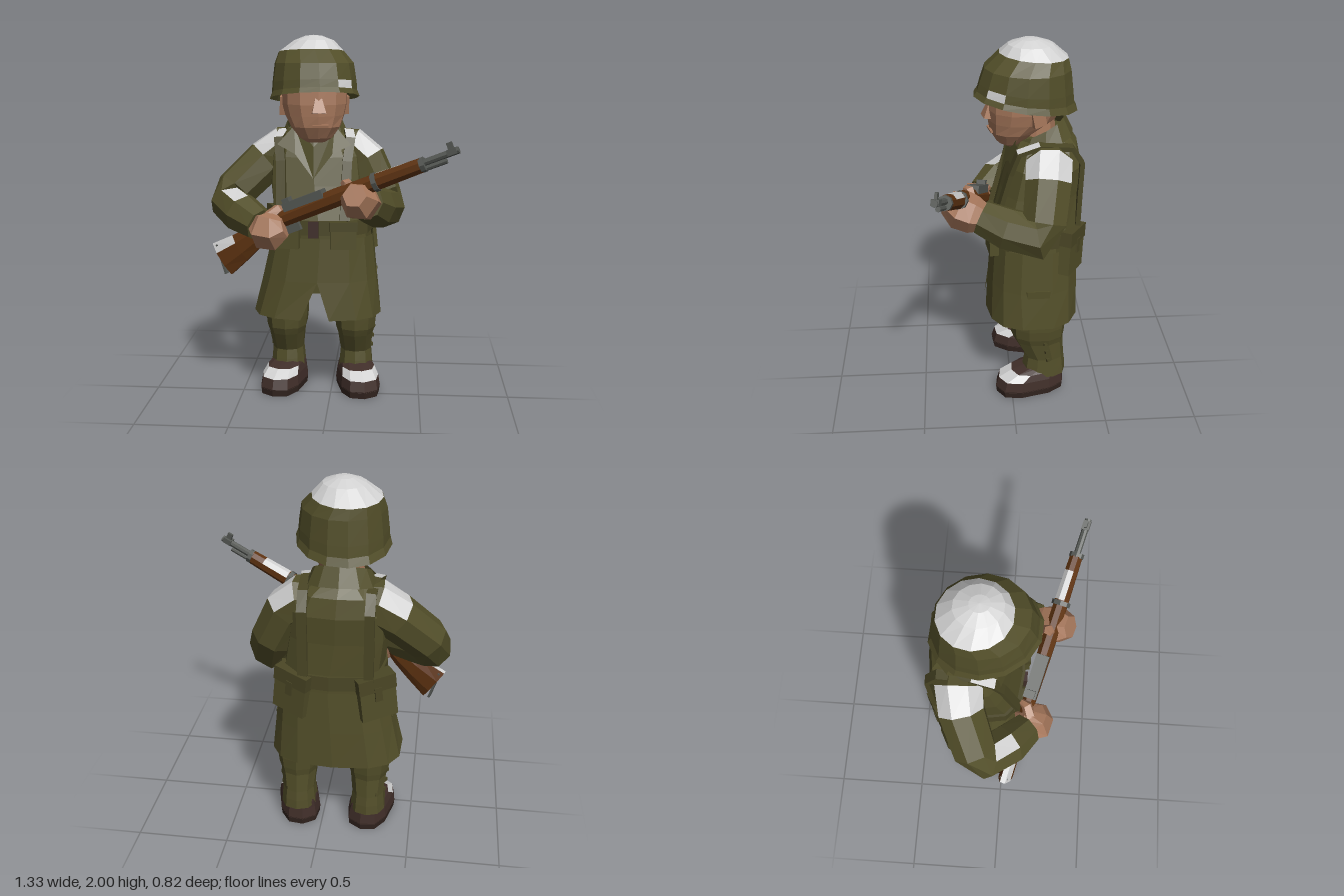
import * as THREE from 'three';

const mat = (name, color, side = THREE.FrontSide) => new THREE.MeshStandardMaterial({ name, color, side });
const M = {
  olive: mat('olive cloth', 0x524e29, THREE.DoubleSide),
  web: mat('dark webbing', 0x4a4625),
  skin: mat('skin', 0xa6775b),
  snow: mat('snow', 0xd2d2d2),
  wood: mat('wood', 0x5e3311),
  metal: mat('gun metal', 0x545753),
  boot: mat('boot leather', 0x402e29),
  sole: mat('boot sole', 0x32241f),
};
const V = (x, y, z) => new THREE.Vector3(x, y, z);

// Faceted skin over cross-sections; pick(ring, side) chooses the material index
function loft(name, rings, mats, { pick = () => 0, closed = true, caps = true } = {}) {
  const list = [].concat(mats), buckets = list.map(() => []);
  const n = rings[0].length, tri = (k, ...p) => p.forEach(q => buckets[k].push(q.x, q.y, q.z));
  for (let i = 0; i < rings.length - 1; i++) {
    for (let j = 0; j < (closed ? n : n - 1); j++) {
      const k = (j + 1) % n, m = pick(i, j);
      const a = rings[i][j], b = rings[i][k], c = rings[i + 1][k], d = rings[i + 1][j];
      tri(m, a, b, c);
      tri(m, a, c, d);
    }
  }
  if (caps) [0, rings.length - 1].forEach(e => {
    const r = rings[e], mid = r.reduce((s, p) => s.add(p), V(0, 0, 0)).divideScalar(n);
    const m = pick(e ? e - 1 : 0, 0);
    r.forEach((p, j) => e ? tri(m, mid, p, r[(j + 1) % n]) : tri(m, mid, r[(j + 1) % n], p));
  });
  const g = new THREE.BufferGeometry();
  g.setAttribute('position', new THREE.Float32BufferAttribute(buckets.flat(), 3));
  let at = 0;
  buckets.forEach((b, k) => { g.addGroup(at, b.length / 3, k); at += b.length / 3; });
  g.computeVertexNormals();
  const mesh = new THREE.Mesh(g, list.length > 1 ? list : list[0]);
  mesh.name = name;
  return mesh;
}

// Level ring, starting at the front; pow < 1 squares it, tilt slopes it, gap opens the front
function ring(n, [y, cx, cz, rx, rz, tilt = 0, gap = 0], pow = 1, open = false) {
  const p = v => Math.sign(v) * Math.abs(v) ** pow;
  return Array.from({ length: open ? n + 1 : n }, (_, j) => {
    const a = gap + j / n * (Math.PI * 2 - gap * 2), z = rz * p(Math.cos(a));
    return V(cx + rx * p(Math.sin(a)), y + tilt * z, cz + z);
  });
}

// Tube along points [x, y, z, ru, rv]; ru is measured along ref
function limb(name, pts, sides, mats, { ref = V(0, 1, 0), pick } = {}) {
  const c = pts.map(p => V(...p)), u = ref.clone();
  const rings = pts.map(([, , , ru, rv = ru], i) => {
    const t = c[Math.min(i + 1, c.length - 1)].clone().sub(c[Math.max(i - 1, 0)]).normalize();
    u.addScaledVector(t, -u.dot(t)).normalize();
    const v = t.clone().cross(u);
    return Array.from({ length: sides }, (_, j) => {
      const a = (j - 0.5) / sides * Math.PI * 2;
      return c[i].clone().addScaledVector(u, ru * Math.cos(a)).addScaledVector(v, rv * Math.sin(a));
    });
  });
  return loft(name, rings, mats, { pick });
}

function solid(name, geo, material, pos, rot = [0, 0, 0]) {
  const g = geo.index ? geo.toNonIndexed() : geo;
  g.computeVertexNormals();
  const m = new THREE.Mesh(g, material);
  m.name = name;
  m.position.set(...pos);
  m.rotation.set(...rot);
  return m;
}
const box = (name, s, material, pos, rot) => solid(name, new THREE.BoxGeometry(...s), material, pos, rot);

// Thin polygon of cloth
function plate(name, pts, material) {
  const g = new THREE.BufferGeometry().setFromPoints(
    pts.slice(2).flatMap((p, i) => [pts[0], pts[i + 1], p]).map(p => V(...p)));
  return solid(name, g, material, [0, 0, 0]);
}

function makeHead() {
  const g = new THREE.Group();
  g.name = 'head';
  g.position.set(-0.095, 0, -0.09);
  g.rotation.y = 0.2;
  g.add(loft('face', [[1.435, 0, 0.08, 0.05, 0.04], [1.46, 0, 0.085, 0.09, 0.075], [1.52, 0, 0.07, 0.135, 0.125],
    [1.58, 0, 0.025, 0.162, 0.18], [1.64, 0, 0.01, 0.177, 0.2], [1.78, 0, 0, 0.18, 0.2]].map(r => ring(12, r, 0.9)), M.skin));
  g.add(solid('nose', new THREE.CylinderGeometry(0.018, 0.052, 0.1, 4, 1, false, Math.PI / 4), M.skin, [0, 1.645, 0.19], [-0.15, 0, 0]));
  g.add(box('mouth', [0.085, 0.014, 0.012], M.skin, [0.01, 1.53, 0.197], [0.25, 0, 0]));
  for (const s of [-1, 1]) g.add(box('ear', [0.03, 0.1, 0.07], M.skin, [s * 0.168, 1.63, -0.02], [0.2, s * 0.2, 0]));
  // Helmet shell with snow on the crown and one patch on the brim
  const shell = [[1.667, 0, 0, 0.245, 0.28, 0.17], [1.7, 0, 0, 0.232, 0.261, 0.15], [1.748, 0, -0.003, 0.229, 0.252, 0.12],
    [1.85, 0, -0.01, 0.215, 0.23, 0.04], [1.912, -0.012, -0.045, 0.178, 0.183, 0.09], [1.97, 0, -0.025, 0.11, 0.12, 0.02],
    [1.995, 0, -0.02, 0.045, 0.05], [2, 0, -0.02, 0, 0]];
  g.add(loft('helmet', shell.map(r => ring(14, r)), [M.olive, M.snow],
    { caps: false, pick: (i, j) => +(i >= 4 || (i === 1 && j === 1)) }));
  return g;
}

function makeCoat() {
  const g = new THREE.Group();
  g.name = 'coat';
  g.add(loft('torso', [[0.86, -0.05, -0.135, 0.275, 0.232], [1.02, -0.06, -0.135, 0.268, 0.232], [1.2, -0.085, -0.162, 0.262, 0.208],
    [1.35, -0.09, -0.188, 0.25, 0.197], [1.45, -0.095, -0.195, 0.205, 0.17], [1.5, -0.1, -0.19, 0.13, 0.13]]
    .map(r => ring(12, r, 0.65)), M.olive));
  // Skirt, slit open at the front
  g.add(loft('skirt', [[0.47, -0.078, -0.123, 0.36, 0.262, 0, 0.12], [0.68, -0.065, -0.13, 0.322, 0.25], [0.92, -0.05, -0.135, 0.282, 0.238]]
    .map(r => ring(14, r, 0.72, true)), M.olive, { closed: false, caps: false }));
  g.add(loft('seat', [[0.66, -0.065, -0.14, 0.27, 0.19], [0.75, -0.065, -0.14, 0.28, 0.2]].map(r => ring(12, r, 0.8)), M.olive));
  g.add(loft('collar', [[1.46, -0.1, -0.18, 0.185, 0.165, -0.25], [1.535, -0.1, -0.165, 0.15, 0.13, -0.5, 0.25]]
    .map(r => ring(12, r, 0.85, true)), M.olive, { closed: false, caps: false }));
  for (const s of [-1, 1]) {
    const at = (x, y, z) => [-0.09 + s * x, y, z];
    g.add(plate('lapel', [at(0.11, 1.52, -0.04), at(0.2, 1.42, -0.005), at(0.1, 1.37, 0.02), at(0, 1.24, 0.045), at(0, 1.41, 0.015)], M.olive));
    // Shoulder strap from the back of the belt over to the front, snow on its crest
    g.add(limb('shoulderStrap', [at(0.17, 1, -0.362), at(0.17, 1.2, -0.368), at(0.17, 1.38, -0.375), at(0.17, 1.465, -0.32),
      at(0.18, 1.48, -0.15), at(0.195, 1.45, -0.04), at(0.18, 1.33, 0.002), at(0.17, 1.02, 0.088)].map(p => [...p, 0.018, 0.036]),
      4, [M.web, M.snow], { ref: V(0, 0, -1), pick: (i, j) => +(i === 4 && j === 0) }));
  }
  return g;
}

function makeBelt() {
  const g = new THREE.Group();
  g.name = 'beltKit';
  g.add(loft('belt', [0.94, 1.02].map(y => ring(12, [y, -0.057, -0.135, 0.285, 0.246], 0.65)), M.web));
  g.add(box('buckle', [0.055, 0.09, 0.02], M.boot, [-0.085, 0.975, 0.115]));
  for (const [x, w, r] of [[0.075, 0.14, 0.12], [-0.22, 0.12, -0.12]]) {
    g.add(box('frontPouch', [w, 0.14, 0.05], M.olive, [x, 0.94, 0.1], [0, r, 0]));
    g.add(box('frontPouchFlap', [w + 0.012, 0.05, 0.06], M.web, [x, 0.995, 0.1], [0, r, 0]));
  }
  for (const s of [-1, 1]) {
    const p = new THREE.Group();
    p.name = 'backPouch';
    p.position.set(-0.08 + s * 0.215, 0.91, -0.318);
    p.rotation.set(0, -s * 0.5, s * 0.12, 'YXZ');
    p.add(box('pouchBody', [0.2, 0.22, 0.08], M.olive, [0, -0.02, 0]), box('pouchFlap', [0.208, 0.08, 0.09], M.web, [0, 0.075, 0]),
      box('pouchTab', [0.04, 0.08, 0.012], M.web, [0, 0.02, -0.043]));
    g.add(p);
  }
  return g;
}

function makeLeg(s) {
  const g = new THREE.Group(), cx = -0.062 + s * 0.197;
  g.name = s > 0 ? 'leftLeg' : 'rightLeg';
  g.add(loft('trouser', [[0.11, cx, -0.185, 0.1, 0.125], [0.165, cx, -0.187, 0.095, 0.12], [0.22, cx, -0.188, 0.09, 0.112], [0.33, cx, -0.155, 0.103, 0.138],
    [0.37, cx, -0.15, 0.115, 0.15], [0.43, cx, -0.15, 0.122, 0.155], [0.7, cx, -0.14, 0.125, 0.16]].map(r => ring(10, r, 0.85)), M.olive));
  for (let i = 0; i < 3; i++) g.add(box('legStrap', [0.03, 0.02, 0.1], M.web, [cx + s * (0.063 + i * 0.006), 0.23 + i * 0.06, -0.235 + i * 0.01], [0.15, s * 0.5, 0]));
  const foot = new THREE.Group();
  foot.name = 'foot';
  foot.position.set(cx + s * 0.015, 0, -0.105);
  foot.rotation.y = s * 0.24;
  foot.add(loft('sole', [[0, 0, 0, 0.113, 0.198], [0.04, 0, 0, 0.117, 0.203]].map(r => ring(10, r, 0.75)), M.sole));
  foot.add(loft('boot', [[0.035, 0, 0, 0.117, 0.203], [0.095, 0, -0.005, 0.109, 0.19], [0.132, 0, -0.04, 0.096, 0.15], [0.16, 0, -0.09, 0.075, 0.09]]
    .map(r => ring(10, r, 0.75)), [M.boot, M.snow], { caps: false, pick: (i, j) => +(i === 1 && [0, 1, 8, 9].includes(j)) }));
  g.add(foot);
  return g;
}

function makeArms() {
  const g = new THREE.Group(), top = j => j === 0 || j === 1 || j === 7;
  g.name = 'arms';
  g.add(limb('rightSleeve', [[-0.18, 1.38, -0.21, 0.11], [-0.275, 1.375, -0.215, 0.13], [-0.38, 1.305, -0.2, 0.124], [-0.54, 1.15, -0.125, 0.118],
    [-0.565, 1.08, -0.075, 0.114], [-0.475, 1.04, 0.045, 0.112], [-0.37, 1, 0.135, 0.09]], 8, [M.olive, M.snow],
    { pick: (i, j) => +((i === 1 && top(j)) || (i === 4 && j === 7)) }));
  g.add(limb('leftSleeve', [[0, 1.38, -0.2, 0.11], [0.1, 1.37, -0.2, 0.13], [0.175, 1.31, -0.19, 0.128], [0.262, 1.13, -0.165, 0.122],
    [0.28, 1.055, -0.14, 0.126], [0.245, 1.09, 0.03, 0.114], [0.2, 1.14, 0.16, 0.094]], 8, [M.olive, M.snow],
    { pick: (i, j) => +(i === 1 && top(j)) }));
  // Hands wrapped round the gun
  g.add(limb('rightHand', [[-0.38, 1, 0.12, 0.07], [-0.345, 0.985, 0.16, 0.108], [-0.285, 0.98, 0.175, 0.105], [-0.23, 1.0, 0.18, 0.055]], 6, M.skin));
  g.add(limb('rightThumb', [[-0.32, 1.05, 0.15, 0.035], [-0.27, 1.09, 0.13, 0.03], [-0.25, 1.085, 0.1, 0.018]], 5, M.skin));
  g.add(limb('leftHand', [[0.2, 1.13, 0.14, 0.07], [0.185, 1.145, 0.2, 0.1], [0.165, 1.17, 0.27, 0.107], [0.145, 1.205, 0.335, 0.065]], 6, M.skin));
  g.add(limb('leftThumb', [[0.13, 1.2, 0.21, 0.035], [0.1, 1.25, 0.22, 0.03], [0.08, 1.25, 0.24, 0.018]], 5, M.skin));
  return g;
}

// Gun, built along its own x with the muzzle at +x
function makeGun() {
  const g = new THREE.Group();
  g.name = 'gun';
  const X = V(1, 0.43, 0.28).normalize(), Z = X.clone().cross(V(0, 1, 0)).normalize();
  g.quaternion.setFromRotationMatrix(new THREE.Matrix4().makeBasis(X, Z.clone().cross(X), Z));
  g.position.set(0.48, 1.365, 0.34);
  const snowTop = at => ({ pick: (i, j) => +(i === at && (j === 0 || j === 7)) });
  g.add(limb('foreEnd', [[-0.85, -0.015, 0, 0.045, 0.036], [-0.5, -0.005, 0, 0.052, 0.042], [-0.24, 0, 0, 0.046, 0.04],
    [-0.08, 0, 0, 0.042, 0.037], [0, 0, 0, 0.04, 0.035]], 8, [M.wood, M.snow], snowTop(2)));
  g.add(limb('stock', [[-0.82, -0.015, 0, 0.045, 0.035], [-0.93, -0.03, 0, 0.045, 0.033], [-1.02, -0.055, 0, 0.068, 0.034],
    [-1.12, -0.08, 0, 0.085, 0.036], [-1.25, -0.106, 0, 0.108, 0.037]], 8, [M.wood, M.snow], snowTop(3)));
  g.add(box('buttPlate', [0.012, 0.17, 0.045], M.metal, [-1.252, -0.106, 0], [0, 0, -0.08]));
  g.add(box('receiver', [0.24, 0.045, 0.07], M.metal, [-0.665, 0.04, 0]));
  g.add(box('rearSight', [0.04, 0.03, 0.05], M.metal, [-0.76, 0.07, 0]));
  g.add(box('triggerGuard', [0.08, 0.05, 0.025], M.metal, [-0.78, -0.075, 0]));
  const tube = (name, r, a, b, y) => g.add(solid(name, new THREE.CylinderGeometry(r, r, b - a, 8), M.metal, [(a + b) / 2, y, 0], [0, 0, -Math.PI / 2]));
  tube('band', 0.05, -0.27, -0.245, 0);
  tube('frontCap', 0.039, -0.005, 0.02, 0);
  tube('barrel', 0.018, 0, 0.205, 0.008);
  tube('gasTube', 0.014, 0, 0.13, -0.022);
  g.add(box('frontSight', [0.03, 0.05, 0.014], M.metal, [0.17, 0.035, 0]));
  g.add(box('sightBase', [0.05, 0.03, 0.04], M.metal, [0.17, 0.012, 0]));
  return g;
}

export function createModel() {
  const model = new THREE.Group();
  model.name = 'soldier';
  model.add(makeHead(), makeCoat(), makeBelt(), makeArms(), makeGun(), makeLeg(-1), makeLeg(1));
  model.add(solid('neck', new THREE.CylinderGeometry(0.1, 0.12, 0.2, 8), M.skin, [-0.1, 1.52, -0.14]));
  return model;
}
